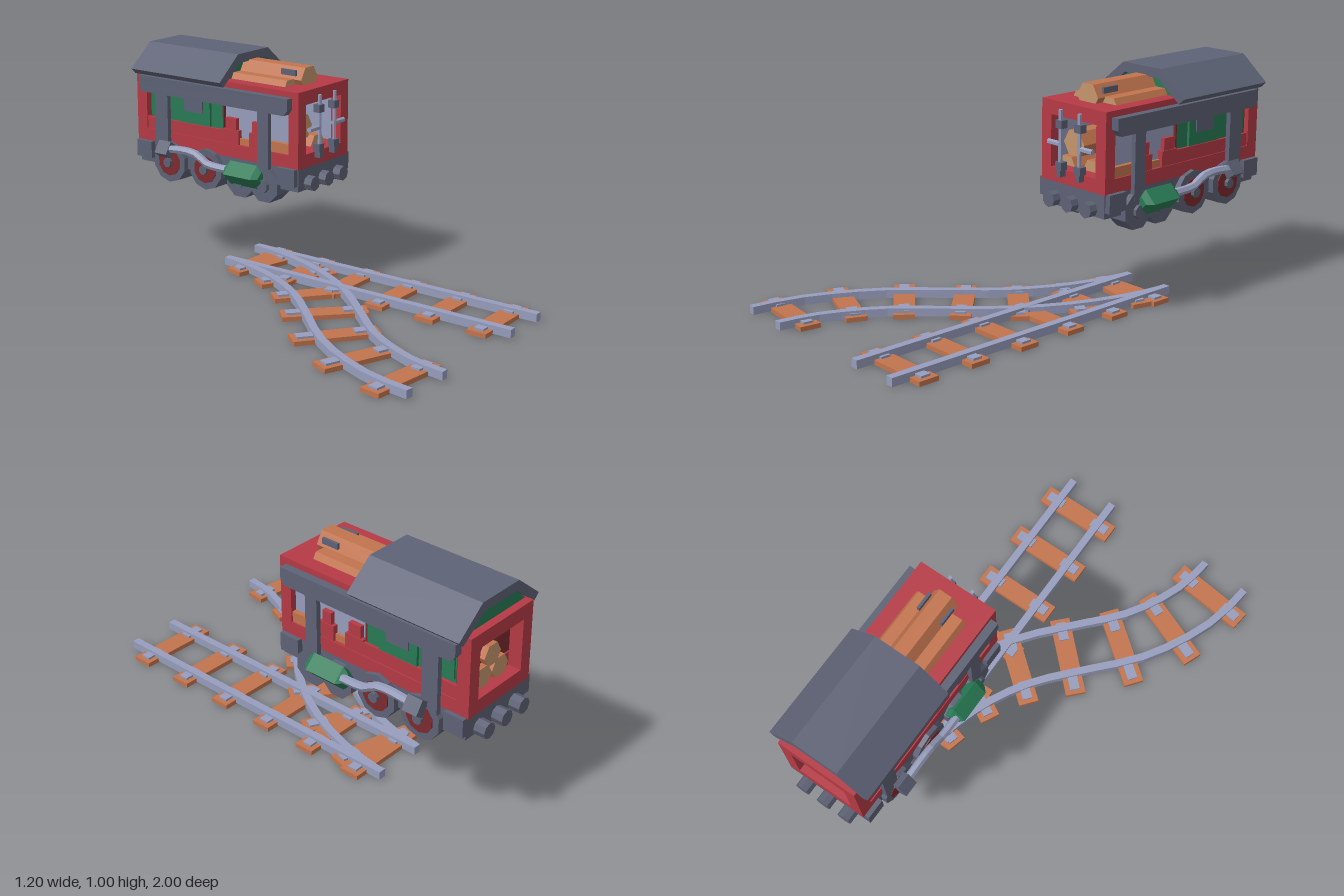
import * as THREE from 'three';

const material = (name, color) => Object.assign(new THREE.MeshStandardMaterial({ color }), { name });

export function createModel() {
  const red = material('red paint', 0xb53a45);
  const darkRed = material('dark red', 0x7c2a2f);
  const slate = material('slate iron', 0x5d6275);
  const steel = material('pale steel', 0x979dbc);
  const green = material('green paint', 0x287a55);
  const wood = material('wood', 0xc2744e);
  const cut = material('cut wood', 0xc6956c);

  const model = new THREE.Group();
  const wagon = new THREE.Group();
  wagon.name = 'wagon';
  wagon.position.x = 0.33;
  const track = new THREE.Group();
  track.name = 'track';
  model.add(wagon, track);

  // Faceted mesh
  const add = (parent, name, geo, mat) => {
    const groups = geo.groups;
    const flat = geo.index ? geo.toNonIndexed() : geo;
    flat.groups = groups;
    flat.computeVertexNormals();
    const mesh = new THREE.Mesh(flat, mat);
    mesh.name = name;
    parent.add(mesh);
    return mesh;
  };
  // Box from its limits
  const box = (name, mat, x0, x1, y0, y1, z0, z1, parent = wagon) => {
    const m = add(parent, name, new THREE.BoxGeometry(Math.abs(x1 - x0), y1 - y0, Math.abs(z1 - z0)), mat);
    m.position.set((x0 + x1) / 2, (y0 + y1) / 2, (z0 + z1) / 2);
    return m;
  };
  // Prism along z, optional cap material
  const rod = (name, mat, x, y, z0, z1, r, sides = 8, turn = 0) => {
    const geo = new THREE.CylinderGeometry(r, r, Math.abs(z1 - z0), sides);
    geo.rotateY(turn).rotateX(Math.PI / 2);
    const m = add(wagon, name, geo, mat);
    m.position.set(x, y, (z0 + z1) / 2);
    return m;
  };
  const log = (x, y, z0, z1, r) => rod('log', [wood, cut, cut], x, y, z0, z1, r, 6, Math.PI / 6 * 3);
  // Cylinder along x
  const disc = (name, mat, x0, x1, y, z, r, sides = 8) => {
    const geo = new THREE.CylinderGeometry(r, r, Math.abs(x1 - x0), sides);
    geo.rotateY(Math.PI / sides).rotateZ(Math.PI / 2);
    add(wagon, name, geo, mat).position.set((x0 + x1) / 2, y, z);
  };
  const shape = pts => new THREE.Shape(pts.map(p => new THREE.Vector2(p[0], p[1])));
  const extrude = (pts, depth) => new THREE.ExtrudeGeometry(shape(pts), { depth, bevelEnabled: false });

  // Body shell
  box('floor', red, -0.185, 0.185, 0.545, 0.605, -0.958, -0.027);
  box('ceiling', red, -0.185, 0.185, 0.825, 0.886, -0.958, -0.027);
  for (const s of [-1, 1]) {
    box('frontPost', red, s * 0.13, s * 0.185, 0.605, 0.825, -0.08, -0.027);
    box('rearPost', red, s * 0.13, s * 0.185, 0.605, 0.825, -0.958, -0.9);
  }
  // Cabin core, end walls and sill
  box('cabin', green, -0.168, 0.168, 0.605, 0.825, -0.885, -0.46);
  box('innerWall', darkRed, -0.168, 0.168, 0.605, 0.825, -0.46, -0.452);
  box('rearWall', darkRed, -0.168, 0.168, 0.605, 0.825, -0.893, -0.885);
  box('sill', red, -0.18, 0.18, 0.605, 0.662, -0.9, -0.45);
  rod('boilerEnd', slate, 0.01, 0.7, -0.452, -0.4, 0.06, 6);

  // Roof and gable
  add(wagon, 'roof', extrude([[-0.238, 0.888], [-0.212, 0.864], [-0.095, 0.955], [0.095, 0.955],
    [0.212, 0.864], [0.238, 0.888], [0.107, 0.996], [-0.107, 0.996]], 0.525), slate).position.z = -0.943;
  add(wagon, 'gable', extrude([[-0.18, 0.884], [0.18, 0.884], [0.095, 0.956], [-0.095, 0.956]], 0.48), green)
    .position.z = -0.925;

  // Firewood on top, in the front bay and in the rear bay
  log(0, 0.909, -0.45, -0.105, 0.06);
  for (const s of [-1, 1]) {
    log(s * 0.078, 0.86, -0.45, -0.145, 0.06);
    box('logClamp', slate, s * 0.05, s * 0.062, 0.925, 0.95, -0.215, -0.135);
  }
  log(-0.06, 0.705, -0.3, -0.09, 0.06);
  log(0.045, 0.605, -0.3, -0.09, 0.052);
  log(0.105, 0.675, -0.42, -0.3, 0.05);
  log(-0.1, 0.6, -0.3, -0.09, 0.05);
  log(-0.05, 0.645, -0.92, -0.88, 0.05);
  log(0.05, 0.645, -0.92, -0.88, 0.05);
  log(0.0, 0.72, -0.92, -0.88, 0.05);

  for (const s of [-1, 1]) {
    // Side bay with panel, log and seats
    box('sidePanel', steel, s * 0.15, s * 0.158, 0.605, 0.825, -0.45, -0.08);
    box('sideLog', wood, s * 0.158, s * 0.178, 0.605, 0.65, -0.225, -0.08);
    box('sideLog', wood, s * 0.158, s * 0.17, 0.605, 0.635, -0.36, -0.29);
    for (const [z0, z1] of [[-0.3, -0.225], [-0.45, -0.36]]) {
      box('seat', red, s * 0.158, s * 0.182, 0.605, 0.67, z0, z1);
      box('seatBack', red, s * 0.158, s * 0.178, 0.67, 0.722, z0 + 0.015, z1 - 0.015);
    }
    // Cabin window
    box('windowFrame', green, s * 0.168, s * 0.18, 0.664, 0.8, -0.71, -0.525);
    box('windowPane', slate, s * 0.18, s * 0.185, 0.718, 0.8, -0.672, -0.565);
    box('cabinPanel', green, s * 0.168, s * 0.176, 0.68, 0.79, -0.88, -0.83);

    // Side rail with chamfered ends, and posts
    const rail = extrude([[0.08, 0.785], [0.895, 0.785], [0.915, 0.81], [0.915, 0.86], [0.06, 0.86], [0.06, 0.81]], 0.037);
    rail.rotateY(Math.PI / 2);
    add(wagon, 'sideRail', rail, slate).position.x = s > 0 ? 0.183 : -0.22;
    box('sidePost', slate, s * 0.184, s * 0.206, 0.5, 0.79, -0.235, -0.175);
    box('sidePost', slate, s * 0.184, s * 0.206, 0.5, 0.79, -0.83, -0.755);

    // Steam cylinder, rod and crosshead
    const profile = [[0, 0], [0.028, 0], [0.053, 0.025], [0.053, 0.175], [0.028, 0.2], [0, 0.2]]
      .map(p => new THREE.Vector2(...p));
    add(wagon, 'steamCylinder', new THREE.LatheGeometry(profile, 4).rotateX(Math.PI / 2), green)
      .position.set(s * 0.215, 0.487, -0.405);
    const path = new THREE.CatmullRomCurve3([[0.5, -0.39], [0.507, -0.5], [0.54, -0.56], [0.548, -0.62], [0.54, -0.75]]
      .map(([y, z]) => new THREE.Vector3(s * 0.233, y, z)));
    add(wagon, 'driveRod', new THREE.TubeGeometry(path, 10, 0.018, 6), steel);
    const head = box('crosshead', slate, s * 0.212, s * 0.255, 0.505, 0.57, -0.785, -0.715);
    head.rotation.z = s * 0.6;

    // Wheels
    for (const z of [-0.535, -0.75]) {
      disc('driveWheel', slate, s * 0.115, s * 0.205, 0.47, z, 0.095, 10);
      disc('wheelFace', darkRed, s * 0.205, s * 0.209, 0.47, z, 0.064, 10);
      disc('wheelHub', slate, s * 0.209, s * 0.225, 0.47, z, 0.022);
    }
    for (const z of [-0.2, -0.335]) {
      disc('smallWheel', slate, s * 0.115, s * 0.205, 0.452, z, 0.08);
      disc('smallHub', slate, s * 0.205, s * 0.22, 0.452, z, 0.03);
    }

    // Front handle bars
    const x = s * 0.055;
    disc('handle', steel, s * 0.05, s * 0.128, 0.715, -0.012, 0.012, 6);
    const bar = new THREE.CylinderGeometry(0.009, 0.009, 0.28, 6);
    add(wagon, 'handleBar', bar, steel).position.set(x, 0.72, -0.008);
    for (const y of [0.625, 0.8]) box('barBracket', slate, x - 0.018, x + 0.018, y - 0.017, y + 0.017, -0.03, 0.004);
    box('barFoot', slate, x - 0.011, x + 0.011, 0.58, 0.61, -0.028, 0.003);
  }

  // Axle drums
  for (const z of [-0.2, -0.335]) disc('axleDrum', slate, -0.12, 0.12, 0.452, z, 0.058);
  for (const z of [-0.535, -0.75]) disc('axleDrum', slate, -0.12, 0.12, 0.47, z, 0.075);

  // Chassis and buffers
  box('chassis', slate, -0.18, 0.18, 0.445, 0.545, -0.945, -0.03);
  box('frontBeam', slate, -0.205, 0.205, 0.47, 0.548, -0.13, -0.035);
  box('rearBeam', slate, -0.205, 0.205, 0.47, 0.548, -0.95, -0.86);
  for (const x of [-0.107, 0, 0.107]) {
    rod('frontBuffer', slate, x, 0.475, -0.04, 0.008, 0.034);
    rod('rearBuffer', slate, x, 0.475, -1, -0.94, 0.034);
  }

  // Sleeper with two rail plates
  const sleeper = (x, z, angle) => {
    const g = new THREE.Group();
    g.name = 'sleeper';
    box('sleeperPlank', wood, -0.185, 0.185, 0, 0.02, -0.045, 0.045, g);
    for (const s of [-1, 1]) box('railPlate', steel, s * 0.08, s * 0.165, 0.02, 0.029, -0.022, 0.022, g);
    g.position.set(x, 0, z);
    g.rotation.y = angle;
    track.add(g);
  };

  // Straight line
  for (const x of [0.22, 0.44]) box('straightRail', steel, x - 0.017, x + 0.017, 0.004, 0.04, -0.49, 1, track);
  for (let i = 0; i < 6; i++) sleeper(0.33, 0.873 - i * 0.25, 0);

  // Branch line swept from its centre curve
  const centre = new THREE.CatmullRomCurve3([[-0.418, 1], [-0.395, 0.84], [-0.335, 0.68], [-0.23, 0.5], [-0.06, 0.31],
    [0.105, 0.12], [0.225, -0.085], [0.305, -0.32], [0.33, -0.49]].map(([x, z]) => new THREE.Vector3(x, 0, z)));
  const N = 16;
  const edge = offset => Array.from({ length: N + 1 }, (_, i) => {
    const p = centre.getPointAt(i / N), t = centre.getTangentAt(i / N);
    return [p.x - t.z * offset, -Math.min(1, Math.max(-0.49, p.z + t.x * offset))];
  });
  for (const s of [-0.112, 0.112]) {
    const pts = [...edge(s + 0.017), ...edge(s - 0.017).reverse()];
    add(track, 'branchRail', extrude(pts, 0.035).rotateX(-Math.PI / 2), steel).position.y = 0.004;
  }
  for (const [x, z, a] of [[-0.41, 0.873, -7], [-0.345, 0.635, -22], [-0.215, 0.43, -38], [-0.04, 0.25, -44],
    [0.12, 0.08, -39], [0.24, -0.11, -28], [0.31, -0.335, -14]]) {
    sleeper(x, z, THREE.MathUtils.degToRad(a));
  }
  return model;
}
